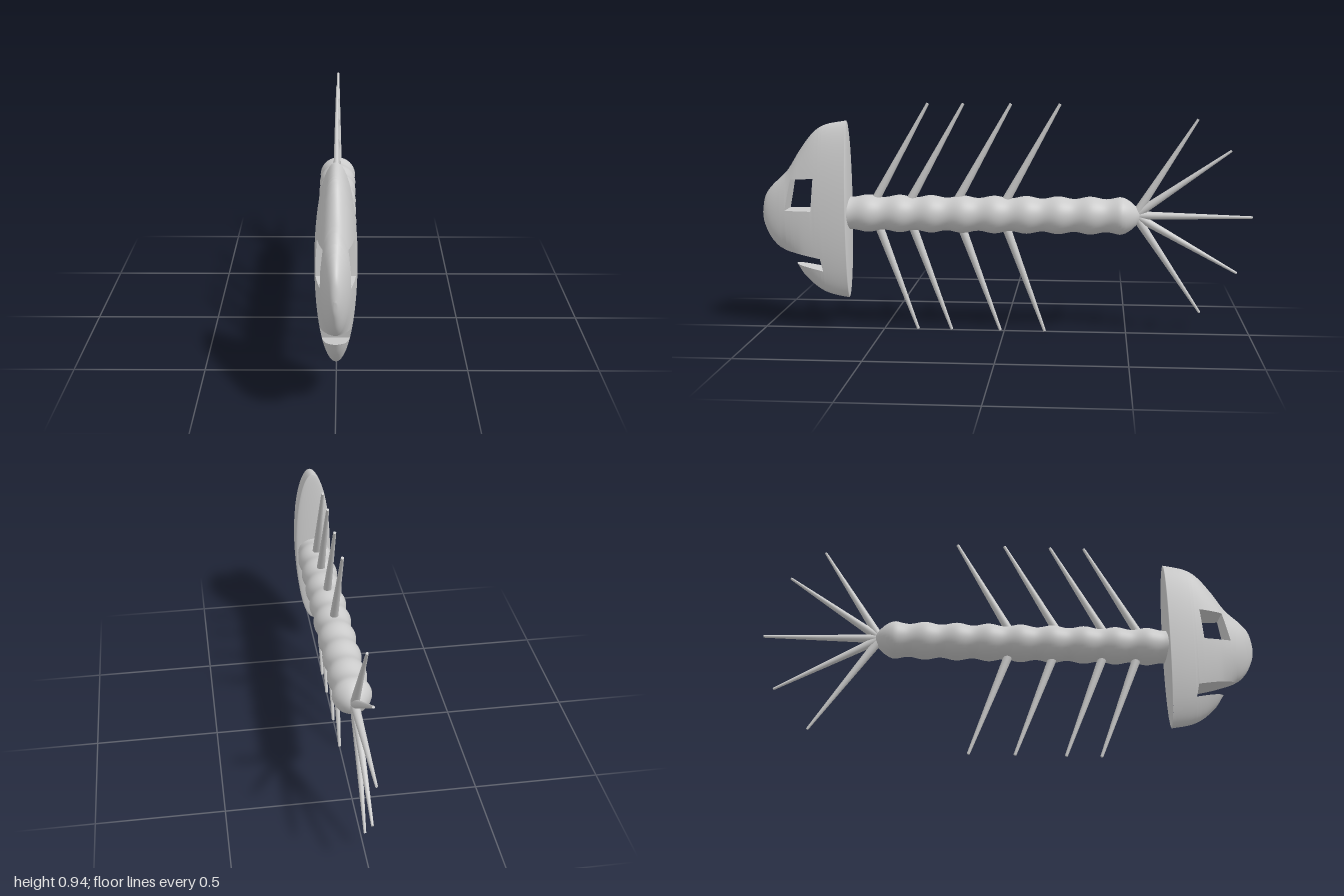
import * as THREE from 'three';
import { mergeVertices } from 'three/addons/utils/BufferGeometryUtils.js';

const AXIS_Y = 0.487, HEAD_BACK = 0.645, NOSE = 1;
const grey = new THREE.MeshStandardMaterial({ color: 0xcccccc });
const greyDouble = new THREE.MeshStandardMaterial({ color: 0xcccccc, side: THREE.DoubleSide });

// Linear lookup in a list of [z, y] points with rising z
function lookup(points, z) {
  if (z <= points[0][0]) return points[0][1];
  for (let i = 1; i < points.length; i++) {
    const [z0, y0] = points[i - 1], [z1, y1] = points[i];
    if (z <= z1) return y0 + (y1 - y0) * (z - z0) / (z1 - z0 || 1);
  }
  return points[points.length - 1][1];
}

function smooth(points) {
  return new THREE.SplineCurve(points.map(p => new THREE.Vector2(...p))).getPoints(300).map(p => [p.x, p.y]);
}

// Head outline seen from the side
const topLine = smooth([[0.645, 0.867], [0.733, 0.85], [0.786, 0.815], [0.84, 0.745], [0.893, 0.662],
  [0.957, 0.6], [0.988, 0.555], [1, 0.49]]);
const bottomLine = smooth([[0.645, 0.131], [0.722, 0.147], [0.775, 0.174], [0.829, 0.224], [0.861, 0.273],
  [0.91, 0.327], [0.936, 0.345], [0.968, 0.382], [0.994, 0.44], [1, 0.49]]);

// Lower and upper edges of the mouth and eye openings
const openings = {
  mouth: [[[0.743, 0.249], [0.861, 0.275], [0.863, 0]],
    [[0.743, 0.249], [0.754, 0.302], [0.92, 0.334], [0.921, 0]]],
  eye: [[[0.775, 0.634], [0.786, 0.5], [0.898, 0.5]],
    [[0.775, 0.634], [0.872, 0.628], [0.898, 0.5]]],
};

// One elliptical slice of the head, with the heights where openings cut it
function section(z) {
  const top = lookup(topLine, z), bottom = lookup(bottomLine, z);
  const mid = (top + bottom) / 2, h = (top - bottom) / 2;
  const w = 0.077 * Math.sqrt(Math.max(0, 1 - ((z - 0.63) / 0.37) ** 2));
  const angle = y => h < 1e-5 ? 0 : Math.asin(THREE.MathUtils.clamp((y - mid) / h, -1, 1));
  const cuts = [...openings.mouth, ...openings.eye].map(line => angle(lookup(line, z)));
  const point = (a, side) => [side * w * Math.cos(a), mid + h * Math.sin(a), z];
  return { cuts, bands: [-Math.PI / 2, ...cuts, Math.PI / 2], point };
}

function fromTriangles(corners) {
  const g = new THREE.BufferGeometry();
  g.setAttribute('position', new THREE.Float32BufferAttribute(corners.flat(), 3));
  return g;
}

function createHead() {
  const zs = new Set(Object.values(openings).flat(2).map(p => p[0]));
  const steps = 40, perBand = 12;
  for (let i = 0; i <= steps; i++) zs.add(HEAD_BACK + (NOSE - HEAD_BACK) * Math.sin(i / steps * Math.PI / 2));
  const slices = [...zs].sort((a, b) => a - b).map(section);
  const shell = [], walls = [];
  const quad = (list, a, b, c, d) => list.push(a, b, c, a, c, d);

  for (let i = 0; i + 1 < slices.length; i++) {
    const back = slices[i], front = slices[i + 1];
    // Skin below the mouth, between mouth and eye, and above the eye
    for (const band of [0, 2, 4]) {
      for (let k = 0; k < perBand; k++) {
        for (const side of [1, -1]) {
          const at = (s, n) => s.point(THREE.MathUtils.lerp(s.bands[band], s.bands[band + 1], n / perBand), side);
          const q = [at(front, k), at(back, k), at(back, k + 1), at(front, k + 1)];
          if (side < 0) q.reverse();
          quad(shell, ...q);
        }
      }
    }
    // Walls running through the head at each opening
    for (const lo of [0, 2]) {
      if (Math.max(back.cuts[lo + 1] - back.cuts[lo], front.cuts[lo + 1] - front.cuts[lo]) < 1e-4) continue;
      for (const e of [lo, lo + 1]) {
        quad(walls, back.point(back.cuts[e], 1), front.point(front.cuts[e], 1),
          front.point(front.cuts[e], -1), back.point(back.cuts[e], -1));
      }
    }
  }

  const head = new THREE.Group();
  head.name = 'head';
  const skinGeometry = mergeVertices(fromTriangles(shell));
  skinGeometry.computeVertexNormals();
  const wallGeometry = fromTriangles(walls);
  wallGeometry.computeVertexNormals();
  add(head, 'skull', skinGeometry);
  add(head, 'eyeAndMouthWalls', wallGeometry, greyDouble);

  // Slightly domed back of the skull
  const cap = new THREE.SphereGeometry(1, 64, 10, 0, Math.PI * 2, 0, Math.PI / 2);
  cap.rotateX(-Math.PI / 2).scale(0.077, 0.368, 0.013).translate(0, 0.499, HEAD_BACK);
  add(head, 'skullBack', cap);
  return head;
}

function add(parent, name, geometry, material = grey) {
  const mesh = new THREE.Mesh(geometry, material);
  mesh.name = name;
  parent.add(mesh);
  return mesh;
}

// Tapered bone between two [y, z] points
function addBone(parent, name, from, to, r0, r1) {
  const a = new THREE.Vector3(0, ...from), b = new THREE.Vector3(0, ...to);
  const dir = b.clone().sub(a);
  const bone = add(parent, name, new THREE.CylinderGeometry(r1, r0, dir.length(), 16));
  bone.position.copy(a).add(b).multiplyScalar(0.5);
  bone.quaternion.setFromUnitVectors(new THREE.Vector3(0, 1, 0), dir.normalize());
}

function createBackbone() {
  // Rounded tail end, then evenly spaced bulges up to the skull
  const profile = [[0, -0.552], [0.02, -0.547], [0.04, -0.533], [0.058, -0.513], [0.07, -0.494], [0.075, -0.48]];
  const end = -0.48, length = 1.12, steps = 104;
  for (let i = 1; i <= steps; i++) {
    const d = length * i / steps;
    profile.push([0.072 + 0.005 * Math.cos(d / 0.13 * Math.PI * 2), end + d]);
  }
  const geometry = new THREE.LatheGeometry(profile.map(p => new THREE.Vector2(...p)), 40);
  geometry.rotateX(Math.PI / 2).translate(0, AXIS_Y, 0);
  return geometry;
}

export function createModel() {
  const model = new THREE.Group();
  model.name = 'fishSkeleton';
  model.add(createHead());
  add(model, 'backbone', createBackbone());

  // Upper and lower rib spines, swept towards the tail above and below
  const ribs = new THREE.Group();
  ribs.name = 'ribs';
  for (const z of [0.31, 0.166, -0.027, -0.225]) {
    addBone(ribs, 'upperRib', [0.5, z + 0.243], [0.938, z], 0.019, 0.006);
  }
  for (const z of [0.358, 0.218, 0.016, -0.167]) {
    addBone(ribs, 'lowerRib', [0.47, z + 0.172], [0.003, z], 0.019, 0.006);
  }
  model.add(ribs);

  // Fan of tail bones
  const tail = new THREE.Group();
  tail.name = 'tail';
  for (const tip of [[0.88, -0.775], [0.755, -0.91], [0.487, -1], [0.258, -0.943], [0.092, -0.798]]) {
    addBone(tail, 'tailBone', [AXIS_Y + 0.003, -0.53], tip, 0.018, 0.005);
  }
  model.add(tail);
  return model;
}
